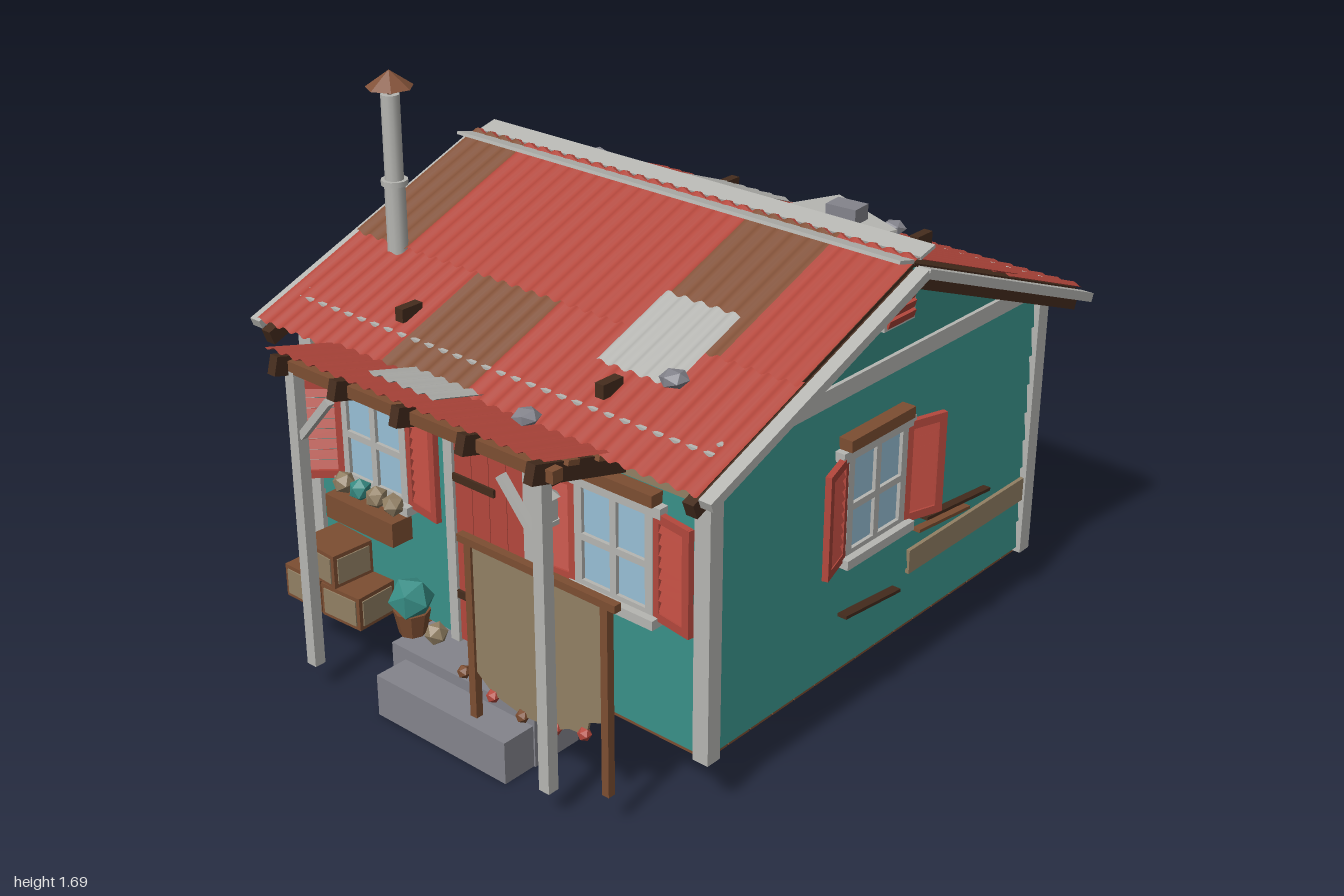
import * as THREE from 'three';

const mat = (name, color, side = THREE.FrontSide) => {
  const m = new THREE.MeshStandardMaterial({ color, side });
  m.name = name;
  return m;
};

export function createModel() {
  const red = mat('red paint', 0xb5483d, THREE.DoubleSide);
  const rust = mat('rusty sheet', 0x84533a, THREE.DoubleSide);
  const trim = mat('weathered trim', 0xb6b6b2, THREE.DoubleSide);
  const teal = mat('teal siding', 0x378c84);
  const stone = mat('stone', 0x84848c);
  const wood = mat('brown wood', 0x7d4e32);
  const dark = mat('dark wood', 0x452c1d);
  const tan = mat('tan wood', 0x928064);
  const glass = mat('glass', 0x98c0d6);

  const model = new THREE.Group();
  model.name = 'cabin';

  const add = (name, geo, m, x, y, z, parent = model, rot = [0, 0, 0]) => {
    const mesh = new THREE.Mesh(geo, m);
    mesh.name = name;
    mesh.position.set(x, y, z);
    mesh.rotation.set(rot[0], rot[1], rot[2], 'YXZ');
    parent.add(mesh);
    return mesh;
  };
  const box = (name, m, w, h, d, x, y, z, parent, rot) =>
    add(name, new THREE.BoxGeometry(w, h, d), m, x, y, z, parent, rot);
  const flat = (geo) => {
    const g = geo.toNonIndexed();
    g.computeVertexNormals();
    return g;
  };
  const ball = (name, m, r, x, y, z, rot) =>
    add(name, new THREE.IcosahedronGeometry(r, 0), m, x, y, z, model, rot);
  const group = (name, x, y, z, ry = 0) => {
    const g = new THREE.Group();
    g.name = name;
    g.position.set(x, y, z);
    g.rotation.y = ry;
    model.add(g);
    return g;
  };
  const outline = (pts) => new THREE.Shape(pts.map(([a, b]) => new THREE.Vector2(a, b)));
  const extrude = (pts, depth) => new THREE.ExtrudeGeometry(outline(pts), { depth, bevelEnabled: false });

  // Heights of the two roofs along z
  const RZ = -0.11, SLOPE = 0.385;
  const roofY = (z) => 1.35 - SLOPE * Math.abs(z - RZ);
  const porchY = (z) => 1.07 - 0.27 * (0.98 - z);

  // A straight board that follows a roof slope
  const slab = (name, m, w, t, x, z0, z1, fn, dy) => {
    const a = fn(z0) + dy, b = fn(z1) + dy;
    return box(name, m, w, t, Math.hypot(z1 - z0, b - a), x, (a + b) / 2, (z0 + z1) / 2,
      model, [-Math.atan2(b - a, z1 - z0), 0, 0]);
  };
  // A corrugated sheet that follows a roof slope
  const sheet = (name, m, x0, x1, z0, z1, fn, dy) => {
    const g = new THREE.PlaneGeometry(x1 - x0, z1 - z0, Math.ceil((x1 - x0) / 0.009), 1);
    g.rotateX(-Math.PI / 2).translate((x0 + x1) / 2, 0, (z0 + z1) / 2);
    const p = g.attributes.position;
    for (let i = 0; i < p.count; i++) {
      p.setY(i, fn(p.getZ(i)) + dy + 0.006 * Math.sin(p.getX(i) * Math.PI * 2 / 0.055));
    }
    g.computeVertexNormals();
    add(name, g, m, 0, 0, 0);
  };

  // Wall core and gables, run along x
  const core = extrude([[-0.855, 0.17], [0.645, 0.17], [0.645, 1.02], [RZ, 1.31], [-0.855, 1.02]], 1.5);
  add('wall core', core.translate(0, 0, -0.75).rotateY(-Math.PI / 2), teal, 0, 0, 0);
  const gable = extrude([[-0.86, 1.02], [0.64, 1.02], [RZ, 1.32]], 1.52);
  add('gable walls', gable.translate(0, 0, -0.76).rotateY(-Math.PI / 2), teal, 0, 0, 0);

  // Lapped siding on all sides
  const H = 0.0925, TILT = -0.1;
  for (let i = 0; i < 9; i++) {
    const y = 0.175 + H * (i + 0.5);
    box('front siding', teal, 1.5, H, 0.012, 0, y, 0.647, model, [TILT, 0, 0]);
    box('back siding', teal, 1.5, H, 0.012, 0, y, -0.857, model, [TILT, Math.PI, 0]);
    for (const s of [-1, 1]) {
      box('side siding', teal, 1.5, H, 0.012, s * 0.752, y, RZ, model, [TILT, s * Math.PI / 2, 0]);
    }
  }

  // Floor boards and corner posts
  for (let i = 0; i < 16; i++) box('floor board', wood, 1.5, 0.02, 0.088, 0, 0.165, -0.81 + i * 0.094);
  for (const s of [-1, 1]) {
    for (const z of [-0.855, 0.643]) box('corner post', trim, 0.052, 0.84, 0.05, s * 0.75, 0.58, z);
    box('gable band', trim, 0.02, 0.05, 1.46, s * 0.762, 1.045, RZ);
    // Gable vent
    const v = group('gable vent', s * 0.765, 1.205, RZ, s * Math.PI / 2);
    box('vent frame', trim, 0.14, 0.1, 0.02, 0, 0, 0, v);
    for (let k = -1; k <= 1; k++) box('vent slat', red, 0.12, 0.024, 0.02, 0, k * 0.028, 0.008, v, [0.3, 0, 0]);
  }
  for (const z of [0.65, -0.865]) box('wall plate', trim, 1.54, 0.045, 0.012, 0, roofY(z) - 0.022, z);

  // Main roof: deck, barge boards, gable rafters
  for (const [z0, z1] of [[-0.97, RZ], [RZ, 0.74]]) {
    slab('roof deck', dark, 1.62, 0.01, 0, z0, z1, roofY, -0.014);
  }
  for (const [z0, z1] of [[-0.985, RZ], [RZ, 0.765]]) for (const s of [-1, 1]) {
    slab('barge board', trim, 0.04, 0.027, s * 0.84, z0, z1, roofY, -0.027);
    slab('gable rafter', dark, 0.035, 0.045, s * 0.79, z0, z1, roofY, -0.056);
  }
  for (let i = 0; i < 7; i++) {
    slab('back rafter tail', dark, 0.038, 0.05, -0.72 + i * 0.24, -0.975, -0.8, roofY, -0.048);
  }
  // Roof sheets
  for (const [m, a, b] of [[rust, -0.82, -0.61], [red, -0.61, 0.28], [rust, 0.28, 0.57], [red, 0.57, 0.82]]) {
    sheet('front upper sheet', m, a, b, RZ, 0.39, roofY, 0.01);
  }
  for (const [m, a, b] of [[red, -0.82, -0.315], [rust, -0.315, -0.005], [red, -0.005, 0.82]]) {
    sheet('front lower sheet', m, a, b, 0.36, 0.775, roofY, 0);
  }
  sheet('back upper sheet', red, -0.82, 0.82, -0.62, RZ, roofY, 0.01);
  sheet('back lower sheet', red, -0.82, 0.82, -1, -0.59, roofY, 0);
  sheet('front metal patch', trim, 0.275, 0.53, 0.26, 0.535, roofY, 0.024);
  sheet('back metal patch', trim, -0.38, -0.115, -0.8, -0.52, roofY, 0.022);
  // Upturned ridge boards
  const ridgeY = (z) => 1.348 + 0.25 * Math.abs(z - RZ);
  slab('ridge board', trim, 1.64, 0.01, 0, -0.19, -0.125, ridgeY, 0);
  slab('ridge board', trim, 1.64, 0.01, 0, -0.095, -0.03, ridgeY, 0);
  for (const x of [-0.38, 0.37]) for (const z of [-0.8, 0.59]) {
    box('roof cleat', dark, 0.03, 0.04, 0.075, x, roofY(z) + 0.015, z);
  }
  // Loose sheet held down by a block
  add('loose sheet', extrude([[0.2, 0.61], [0.5, 0.48], [0.475, 0.4], [0.11, 0.4]], 0.008).rotateX(-Math.PI / 2),
    trim, 0, 1.245, 0);
  box('roof block', stone, 0.1, 0.05, 0.07, 0.34, 1.275, -0.455, model, [0, 0.08, 0]);
  // Stones on the roof
  [[0.24, -0.84, 1], [-0.46, -0.27, 2], [0.52, 0.51, 3]].forEach(([x, z, r]) =>
    ball('roof stone', stone, 0.042, x, roofY(z) + 0.025, z, [0, r, 0]).scale.y = 0.6);
  ball('porch stone', stone, 0.04, 0.26, porchY(0.78) + 0.03, 0.78, [0, 0.4, 0]).scale.y = 0.6;

  // Chimney
  const chimney = group('chimney', -0.645, 0, 0.385);
  const tube = (n, m, r, h, y) => add(n, new THREE.CylinderGeometry(r, r, h, 12), m, 0, y, 0, chimney);
  tube('flue lower', trim, 0.031, 0.22, 1.25);
  tube('flue collar', trim, 0.04, 0.016, 1.36);
  tube('flue upper', trim, 0.028, 0.27, 1.485);
  tube('cap stem', dark, 0.008, 0.04, 1.635);
  add('chimney cap', flat(new THREE.ConeGeometry(0.07, 0.05, 7)), rust, 0, 1.665, 0, chimney);

  // Porch roof, posts and braces
  sheet('porch sheet', red, -0.52, 0.52, 0.66, 0.985, porchY, 0.008);
  sheet('porch metal patch', trim, -0.2, 0.06, 0.73, 0.9, porchY, 0.022);
  for (const x of [-0.48, -0.24, 0, 0.24, 0.48]) slab('porch rafter', dark, 0.03, 0.055, x, 0.66, 0.995, porchY, -0.035);
  box('porch beam', wood, 1.04, 0.035, 0.035, 0, 1.025, 0.938);
  for (const z of [0.76, 0.87]) slab('porch batten', wood, 1.02, 0.015, 0, z - 0.02, z + 0.02, porchY, -0.008);
  for (const s of [-1, 1]) {
    box('porch post', trim, 0.036, 0.925, 0.036, s * 0.463, 0.55, 0.938);
    box('porch brace', trim, 0.022, 0.19, 0.022, s * 0.385, 0.89, 0.938, model, [0, 0, s * 0.72]);
  }

  // Steps
  box('upper step', stone, 0.565, 0.165, 0.17, 0, 0.085, 0.72);
  box('lower step', stone, 0.505, 0.13, 0.13, 0.025, 0.068, 0.85);

  // Windows with louvred shutters, each swung out by its own angle
  const windowUnit = (x, z, ry, swing) => {
    const g = group('window', x, 0.69, z, ry);
    box('glass', glass, 0.25, 0.29, 0.012, 0, 0, 0.008, g);
    [-1, 1].forEach((s, n) => {
      box('window stile', trim, 0.026, 0.31, 0.03, s * 0.123, 0, 0.01, g);
      const sh = new THREE.Group();
      sh.name = 'shutter';
      sh.position.set(s * 0.134, 0.005, 0.014);
      sh.rotation.y = -s * swing[n];
      g.add(sh);
      for (const e of [0.012, 0.128]) box('shutter stile', red, 0.026, 0.31, 0.018, s * e, 0, 0, sh);
      for (const e of [-0.143, 0.143]) box('shutter rail', red, 0.13, 0.025, 0.018, s * 0.07, e, 0, sh);
      for (let k = 0; k < 8; k++) {
        box('shutter slat', red, 0.105, 0.028, 0.006, s * 0.07, -0.115 + k * 0.033, 0, sh, [-0.4, 0, 0]);
      }
    });
    box('mullion', trim, 0.022, 0.29, 0.026, 0, 0, 0.012, g);
    box('glazing bar', trim, 0.25, 0.02, 0.026, 0, 0, 0.012, g);
    box('window rail', trim, 0.25, 0.02, 0.026, 0, -0.138, 0.012, g);
    box('window head', trim, 0.33, 0.03, 0.035, 0, 0.163, 0.012, g);
    box('window sill', trim, 0.31, 0.028, 0.055, 0, -0.156, 0.02, g);
    box('drip board', wood, 0.29, 0.034, 0.045, 0, 0.195, 0.016, g);
  };
  windowUnit(-0.46, 0.655, 0, [0.75, 0.15]);
  windowUnit(0.46, 0.655, 0, [0.1, 0.15]);
  windowUnit(0.76, -0.03, Math.PI / 2, [0.3, 0.3]);
  windowUnit(-0.76, -0.06, -Math.PI / 2, [0.3, 0.3]);

  // Door with frame, straps and knob
  for (let i = 0; i < 4; i++) box('door plank', red, 0.065, 0.68, 0.02, -0.1 + i * 0.067, 0.52, 0.663);
  for (const s of [-1, 1]) box('door jamb', trim, 0.034, 0.71, 0.035, s * 0.153, 0.525, 0.662);
  box('door lintel', trim, 0.34, 0.035, 0.04, 0, 0.873, 0.664);
  for (const y of [0.33, 0.7]) box('strap hinge', dark, 0.16, 0.024, 0.008, -0.055, y, 0.677);
  ball('door knob', tan, 0.019, 0.08, 0.49, 0.69);

  // Replacement boards nailed over the siding
  box('wall patch', tan, 0.44, 0.075, 0.012, -0.5, 0.95, 0.656);
  box('wall patch', tan, 0.42, 0.075, 0.012, 0.51, 0.95, 0.656);
  box('loose board', trim, 0.46, 0.045, 0.012, 0, 0.93, 0.672, model, [0, 0, -0.03]);
  box('wall patch', tan, 0.012, 0.075, 0.6, 0.763, 0.38, -0.53);
  for (const [m, len, y, z] of [[dark, 0.33, 0.487, -0.45], [wood, 0.26, 0.465, -0.38], [dark, 0.26, 0.335, -0.04]]) {
    box('broken board', m, 0.03, 0.01, len, 0.77, y, z, model, [-0.1, 0, 0]);
  }
  box('wall patch', tan, 0.012, 0.085, 0.54, -0.763, 0.615, -0.58);
  box('wall patch', tan, 0.012, 0.085, 0.6, -0.763, 0.38, 0.22);
  box('wall patch', trim, 0.012, 0.06, 0.3, -0.765, 0.78, 0.43);

  // Planter under the front window
  box('planter', wood, 0.285, 0.075, 0.075, -0.46, 0.475, 0.713);
  for (let i = 0; i < 4; i++) {
    ball('planter bush', i === 1 ? teal : tan, 0.035, -0.56 + i * 0.07, 0.55, 0.713, [i, i * 0.7, 0]);
  }

  // Potted shrub and small bulb
  add('pot', flat(new THREE.CylinderGeometry(0.055, 0.04, 0.075, 8)), wood, -0.27, 0.213, 0.735);
  ball('shrub', teal, 0.068, -0.27, 0.285, 0.735, [0, 0.5, 0]);
  ball('bulb', tan, 0.035, -0.165, 0.215, 0.74, [0.4, 0.3, 0]);

  // Stacked crates
  for (const [x, y, r] of [[-0.615, 0.235, 0], [-0.455, 0.235, 0.05], [-0.54, 0.342, -0.05]]) {
    const c = group('crate', x, y, 0.775, r);
    box('crate body', wood, 0.155, 0.105, 0.14, 0, 0, 0, c);
    for (const s of [-1, 1]) {
      box('crate panel', tan, 0.13, 0.08, 0.008, 0, 0, s * 0.07, c);
      box('crate side', tan, 0.008, 0.08, 0.115, s * 0.0775, 0, 0, c);
    }
  }

  // Drying rack with net and floats
  box('rack leg', wood, 0.024, 0.55, 0.024, 0.128, 0.41, 0.87);
  box('rack leg', wood, 0.024, 0.58, 0.024, 0.612, 0.395, 0.87);
  box('rack bar', wood, 0.56, 0.022, 0.024, 0.37, 0.677, 0.87);
  add('net', extrude([[0.14, 0.67], [0.14, 0.28], [0.2, 0.235], [0.31, 0.215], [0.43, 0.225],
    [0.48, 0.25], [0.54, 0.255], [0.55, 0.3], [0.6, 0.32], [0.6, 0.67]], 0.008), tan, 0, 0, 0.866);
  [[0.09, 0.26], [0.2, 0.23], [0.31, 0.215], [0.43, 0.23], [0.535, 0.26]].forEach(([x, y], i) =>
    ball('net float', i === 0 || i === 2 ? wood : red, 0.02, x, y, 0.875));

  // Wall lantern
  const lamp = group('lantern', 0.275, 0.77, 0.725);
  add('lantern body', flat(new THREE.CylinderGeometry(0.026, 0.026, 0.07, 6)), trim, 0, 0, 0, lamp);
  add('lantern cap', flat(new THREE.ConeGeometry(0.034, 0.025, 6)), trim, 0, 0.045, 0, lamp);
  add('lantern base', flat(new THREE.CylinderGeometry(0.03, 0.03, 0.014, 6)), trim, 0, -0.04, 0, lamp);
  box('lantern arm', dark, 0.012, 0.012, 0.08, 0, 0.062, -0.035, lamp);

  return model;
}
